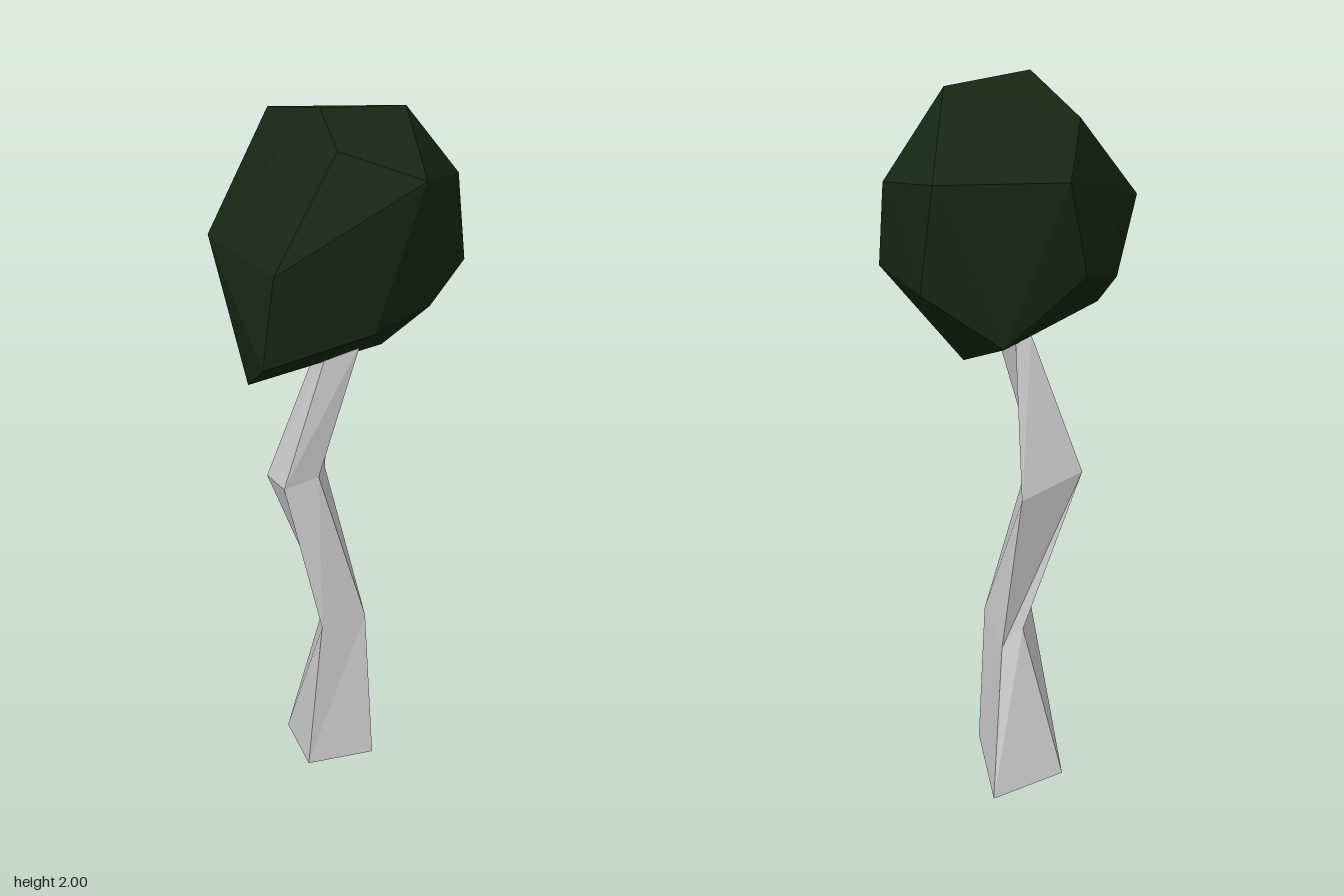
import * as THREE from 'three';
import { ConvexGeometry } from 'three/addons/geometries/ConvexGeometry.js';

// Crooked four-sided trunk: rings run front-left, front-right, back-right, back-left
function trunkGeometry() {
  const rings = [
    [[-0.13, 0.09, 0.125], [0.07, 0.06, 0.087], [0.07, 0.005, -0.155], [-0.135, 0.04, -0.117]],
    [[-0.075, 0.525, 0.075], [0.06, 0.515, 0.033], [0.03, 0.44, -0.07], [-0.027, 0.5, -0.08]],
    [[-0.168, 0.97, 0.045], [-0.07, 0.985, 0.03], [-0.012, 0.915, -0.135], [-0.19, 0.955, -0.064]],
    [[-0.055, 1.35, 0.05], [0.035, 1.375, 0.055], [-0.012, 1.32, -0.045], [-0.055, 1.34, -0.035]],
  ];
  const index = [0, 3, 2, 0, 2, 1, 12, 13, 14, 12, 14, 15];
  for (let r = 0; r < 3; r++) {
    for (let i = 0; i < 4; i++) {
      const a = r * 4 + i, b = r * 4 + (i + 1) % 4;
      index.push(a, b, b + 4, a, b + 4, a + 4);
    }
  }
  const g = new THREE.BufferGeometry();
  g.setAttribute('position', new THREE.Float32BufferAttribute(rings.flat(2), 3));
  g.setIndex(index);
  g.computeVertexNormals();
  return g;
}

// Faceted crown: hull of a few corners, with one corner then pulled in as a dent
function crownGeometry() {
  const corners = [
    // top
    [-0.067, 2.0, 0.055], [0.156, 1.975, 0.013], [-0.137, 1.93, -0.197],
    // upper sides
    [0.135, 1.875, 0.26], [-0.236, 1.69, 0.288], [-0.333, 1.69, -0.004],
    [-0.094, 1.80, -0.294], [0.228, 1.80, -0.26], [0.32, 1.765, -0.06],
    // lower sides
    [0.331, 1.545, -0.022], [0.258, 1.525, -0.228], [0.19, 1.5, 0.135],
    [0.01, 1.51, 0.275], [-0.272, 1.465, 0.31], [-0.144, 1.56, -0.265], [-0.265, 1.5, -0.085],
    // underside
    [0.069, 1.405, -0.313], [-0.278, 1.355, 0.16], [0.13, 1.3, -0.08],
  ].map(p => new THREE.Vector3(...p));
  const dent = new THREE.Vector3(-0.053, 1.93, 0.164);
  const centre = new THREE.Vector3(0, 1.66, 0);
  const pushed = dent.clone().sub(centre).multiplyScalar(1.12).add(centre);

  const g = new ConvexGeometry([...corners, pushed]);
  const pos = g.attributes.position, v = new THREE.Vector3();
  for (let i = 0; i < pos.count; i++) {
    if (v.fromBufferAttribute(pos, i).distanceTo(pushed) < 1e-4) pos.setXYZ(i, dent.x, dent.y, dent.z);
  }
  g.computeVertexNormals();
  return g;
}

export function createModel() {
  const group = new THREE.Group();
  group.name = 'tree';
  const add = (name, geometry, color) => {
    const mesh = new THREE.Mesh(geometry, new THREE.MeshStandardMaterial({ color, flatShading: true }));
    mesh.name = name;
    group.add(mesh);
  };
  add('trunk', trunkGeometry(), 0xcccccc);
  add('crown', crownGeometry(), 0x162613);
  return group;
}
